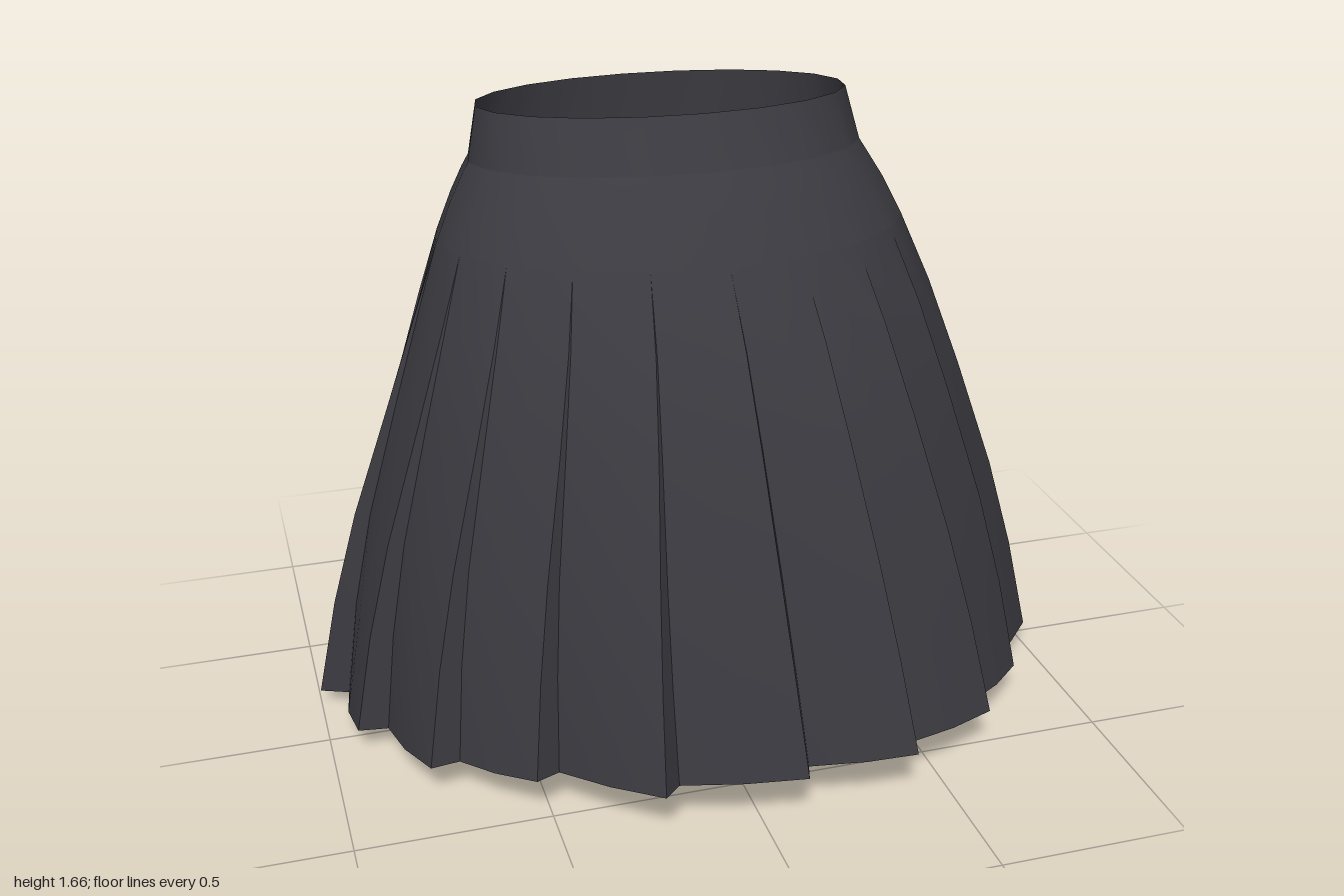
import * as THREE from 'three';
import { toCreasedNormals } from 'three/addons/utils/BufferGeometryUtils.js';

const PLEATS = 20;

// Outer pleat corners along the hem as [x, z], from the front round past +x
const HEM = [
  [0.10, 0.725], [0.40, 0.70], [0.67, 0.54], [0.85, 0.31], [1.0, 0.06],
  [0.94, -0.27], [0.84, -0.45], [0.71, -0.56], [0.48, -0.66], [0.22, -0.68],
  [0.01, -0.73], [-0.21, -0.70], [-0.45, -0.65], [-0.67, -0.56], [-0.90, -0.40],
  [-1.0, -0.19], [-0.93, 0.08], [-0.78, 0.35], [-0.54, 0.51], [-0.26, 0.70],
].map(([x, z]) => new THREE.Vector2(x / 0.98, (z - 0.005) / 0.715));

// Rings: [y front, y back, z front, z back, half width, pleat amount]
const BAND = [
  [1.675, 1.60, 0.09, -0.635, 0.49, 0],
  [1.545, 1.46, 0.155, -0.645, 0.52, 0],
];
const YOKE = [
  BAND[1],
  [1.51, 1.43, 0.185, -0.66, 0.54, 0],
  [1.45, 1.37, 0.23, -0.667, 0.575, 0],
  [1.35, 1.28, 0.295, -0.68, 0.62, 0],
];
const SKIRT = [
  YOKE[3],
  [1.17, 1.12, 0.405, -0.69, 0.685, 0.13],
  [0.94, 0.88, 0.50, -0.705, 0.765, 0.32],
  [0.64, 0.56, 0.595, -0.725, 0.865, 0.58],
  [0.40, 0.29, 0.66, -0.725, 0.93, 0.79],
  [0.155, 0.01, 0.72, -0.71, 0.98, 1],
];

// Three points per pleat: outer edge, tucked inner edge, middle of next face
function ring([yf, yb, zf, zb, rx, w]) {
  const outer = HEM.map((h, i) => {
    const a = THREE.MathUtils.degToRad(1 + i * 360 / PLEATS);
    return new THREE.Vector2(Math.sin(a), Math.cos(a)).lerp(h, w);
  });
  const inner = outer.map(p =>
    p.clone().rotateAround(new THREE.Vector2(), -0.03 * w).multiplyScalar(1 - 0.08 * w));
  const unit = [];
  for (let i = 0; i < PLEATS; i++) {
    const mid = inner[i].clone().add(outer[(i + 1) % PLEATS]).multiplyScalar(0.5 * (1 + 0.015 * w));
    unit.push(outer[i], inner[i], mid);
  }
  return unit.map(p => {
    const s = Math.pow(THREE.MathUtils.clamp((p.y + 1) / 2, 0, 1), 1 + 0.3 * w);
    return new THREE.Vector3(
      p.x * rx + 0.008 * (1 - w),
      yb + (yf - yb) * s,
      (zf + zb) / 2 + p.y * (zf - zb) / 2);
  });
}

// Joins successive rings, dropping triangles that collapse where pleats begin
function loft(levels, crease) {
  const rings = levels.map(ring);
  const pos = [];
  const tri = (a, b, c) => {
    if (new THREE.Triangle(a, b, c).getArea() > 1e-7) {
      for (const p of [a, b, c]) pos.push(p.x, p.y, p.z);
    }
  };
  for (let r = 0; r < rings.length - 1; r++) {
    const top = rings[r], low = rings[r + 1], n = top.length;
    for (let i = 0; i < n; i++) {
      const j = (i + 1) % n;
      tri(top[i], low[i], low[j]);
      tri(top[i], low[j], top[j]);
    }
  }
  const geo = new THREE.BufferGeometry();
  geo.setAttribute('position', new THREE.Float32BufferAttribute(pos, 3));
  return toCreasedNormals(geo, crease);
}

export function createModel() {
  const model = new THREE.Group();
  model.name = 'pleatedSkirt';
  const cloth = new THREE.MeshStandardMaterial({ color: 0x3a3a40, side: THREE.DoubleSide });
  cloth.name = 'charcoalCloth';

  const add = (name, levels, crease) => {
    const mesh = new THREE.Mesh(loft(levels, crease), cloth);
    mesh.name = name;
    model.add(mesh);
  };
  add('waistband', BAND, 0.6);
  add('yoke', YOKE, 0.4);
  add('pleats', SKIRT, 0.4);
  return model;
}
